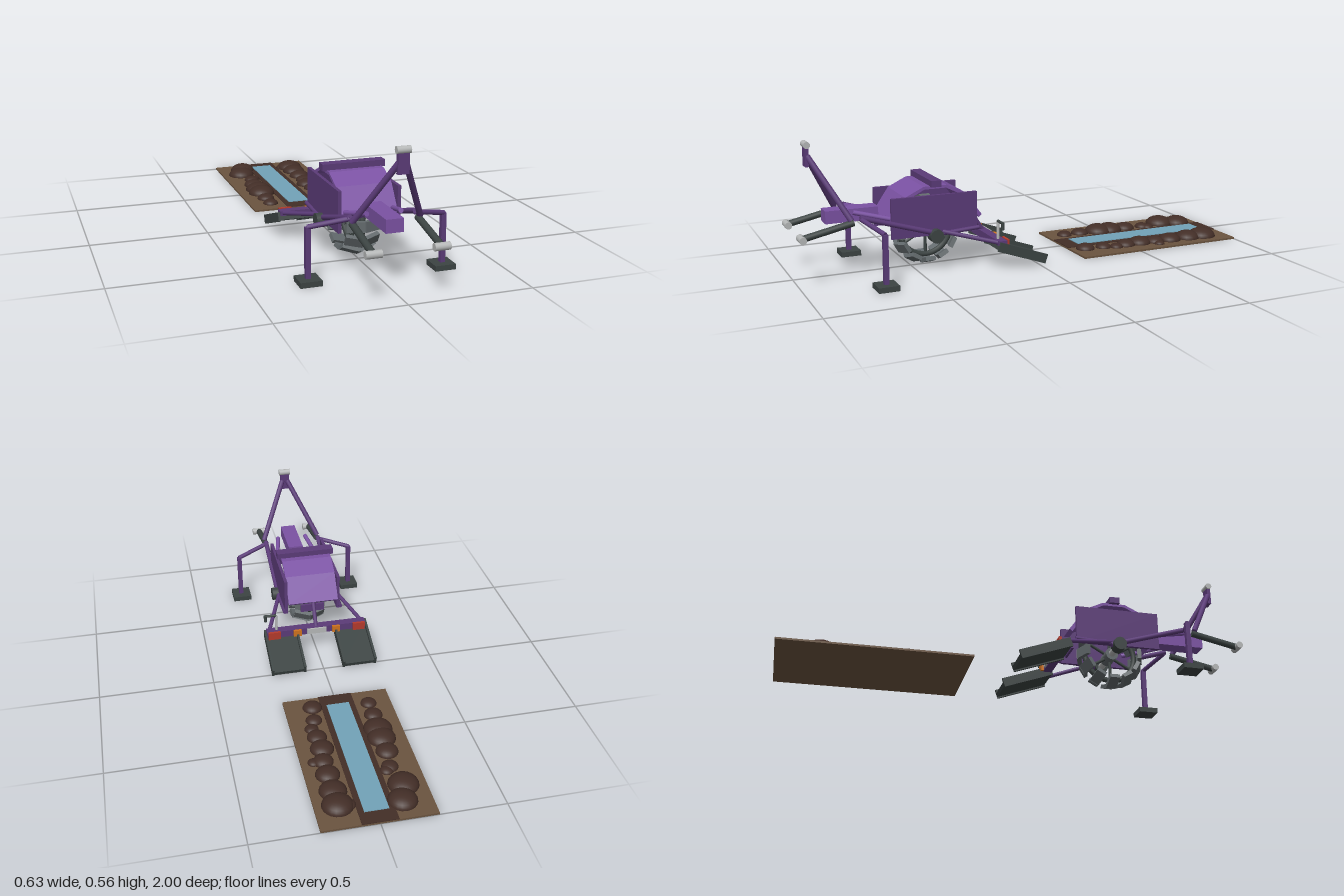
import * as THREE from 'three';

const mat = (name, color) => Object.assign(new THREE.MeshStandardMaterial({ color }), { name });

export function createModel() {
  const purple = mat('purple paint', 0x7b52a3), deep = mat('deep purple paint', 0x5b3b78);
  const dark = mat('dark steel', 0x3c4443), steel = mat('grey steel', 0x62696c);
  const silver = mat('silver', 0xb6b8b8), red = mat('red lamp', 0xb53a2c), orange = mat('orange lamp', 0xd0731f);
  const soil = mat('dry soil', 0x6b543f), clodMat = mat('moist soil', 0x432e27), water = mat('water', 0x72a3b8);
  const root = new THREE.Group();
  root.name = 'plantingMachine';

  const add = (name, geo, m, x = 0, y = 0, z = 0, parent = root) => {
    const mesh = new THREE.Mesh(geo, m);
    mesh.name = name;
    mesh.position.set(x, y, z);
    parent.add(mesh);
    return mesh;
  };
  const box = (name, m, w, h, d, x, y, z, parent) => add(name, new THREE.BoxGeometry(w, h, d), m, x, y, z, parent);
  const rod = (name, m, a, b, r, parent = root, sides = 12) => {
    const A = new THREE.Vector3(...a), B = new THREE.Vector3(...b), dir = B.clone().sub(A);
    const mesh = add(name, new THREE.CylinderGeometry(r, r, dir.length(), sides), m, 0, 0, 0, parent);
    mesh.position.copy(A).add(B).multiplyScalar(0.5);
    mesh.quaternion.setFromUnitVectors(new THREE.Vector3(0, 1, 0), dir.normalize());
    return mesh;
  };

  // Field bed with a water furrow
  const field = new THREE.Group();
  field.name = 'field';
  root.add(field);
  box('soilBed', soil, 0.46, 0.008, 0.785, 0, 0.004, -0.6075, field);
  box('furrow', clodMat, 0.145, 0.003, 0.785, 0, 0.0095, -0.6075, field);
  box('waterStrip', water, 0.098, 0.003, 0.66, 0, 0.0125, -0.61, field);

  // Clods: x, z, radius
  const clods = [
    [-0.111, -0.905, 0.06], [-0.138, -0.82, 0.063], [-0.114, -0.71, 0.035], [-0.096, -0.73, 0.028],
    [-0.127, -0.62, 0.047], [-0.127, -0.535, 0.06], [-0.127, -0.475, 0.062], [-0.132, -0.38, 0.04],
    [-0.132, -0.3, 0.035], [0.138, -0.88, 0.063], [0.1, -0.885, 0.032], [0.138, -0.8, 0.056],
    [0.138, -0.705, 0.05], [0.138, -0.625, 0.042], [0.178, -0.625, 0.024], [0.127, -0.55, 0.05],
    [0.132, -0.475, 0.042], [0.143, -0.42, 0.03], [0.122, -0.365, 0.035], [0.111, -0.28, 0.042]];
  for (const [x, z, r] of clods) {
    const c = add('clod', new THREE.SphereGeometry(r, 20, 8, 0, Math.PI * 2, 0, Math.PI / 2), clodMat, x, 0.008, z, field);
    c.scale.y = 0.6;
  }

  // Arched hood over the wheel, drawn in (z, y) and extruded across x
  const outer = [[0.2, 0.22], [0.13, 0.322], [0.05, 0.36], [-0.05, 0.36], [-0.13, 0.322], [-0.205, 0.22]];
  const inner = outer.map(([z, y]) => [z * 0.94, y - 0.012]).reverse();
  const hoodShape = new THREE.Shape([...outer, ...inner].map(([z, y]) => new THREE.Vector2(-z, y)));
  const hoodGeo = new THREE.ExtrudeGeometry(hoodShape, { depth: 0.23, bevelEnabled: false });
  hoodGeo.translate(0, 0, -0.115).rotateY(Math.PI / 2);
  add('hood', hoodGeo, purple, 0, 0, 0.425);
  box('topBar', deep, 0.264, 0.027, 0.044, 0, 0.371, 0.425);
  box('rearPanel', deep, 0.11, 0.035, 0.01, 0, 0.174, 0.25);
  box('frontBeam', purple, 0.07, 0.053, 0.22, 0, 0.252, 0.755);

  // Lugged wheel
  const wheel = new THREE.Group();
  wheel.name = 'wheel';
  wheel.position.set(0, 0.155, 0.433);
  root.add(wheel);
  add('rim', new THREE.TorusGeometry(0.112, 0.012, 10, 48).rotateY(Math.PI / 2), dark, 0, 0, 0, wheel);
  rod('hub', steel, [-0.04, 0, 0], [0.04, 0, 0], 0.028, wheel, 20);
  rod('axle', silver, [-0.12, 0, 0], [0.12, 0, 0], 0.015, wheel, 16);
  for (let i = 0; i < 12; i++) {
    const spoke = new THREE.Group();
    spoke.name = 'spokeAndLug';
    spoke.rotation.x = i * Math.PI / 6;
    wheel.add(spoke);
    if (i % 2 === 0) rod('spoke', dark, [0, 0.02, 0], [0, 0.11, 0], 0.007, spoke, 8);
    for (const s of [-1, 1]) {
      const lug = box('lug', steel, 0.074, 0.018, 0.044, s * 0.034, 0.128, 0, spoke);
      lug.rotation.z = -s * 0.35;
    }
  }

  // Paired parts
  for (const s of [-1, 1]) {
    box('sidePlate', deep, 0.014, 0.168, 0.372, s * 0.122, 0.24, 0.433);
    rod('hubCap', dark, [s * 0.11, 0.155, 0.433], [s * 0.158, 0.155, 0.433], 0.029, root, 20);
    rod('sideArm', deep, [s * 0.131, 0.262, 0.75], [s * 0.131, 0.155, 0.4], 0.011);
    rod('sideArmRear', deep, [s * 0.131, 0.158, 0.433], [s * 0.131, 0.17, 0.24], 0.009);
    rod('rearArm', deep, [s * 0.13, 0.168, 0.4], [s * 0.217, 0.115, 0.18], 0.009);
    rod('innerStay', purple, [s * 0.068, 0.272, 0.76], [s * 0.115, 0.215, 0.53], 0.01);

    // Outrigger and foot
    rod('outriggerArm', deep, [s * 0.13, 0.256, 0.745], [s * 0.277, 0.222, 0.692], 0.01);
    box('outriggerLeg', deep, 0.02, 0.205, 0.02, s * 0.275, 0.12, 0.692);
    box('foot', dark, 0.086, 0.022, 0.086, s * 0.273, 0.011, 0.692);

    // Hitch frame and lower links
    rod('mastLeg', deep, [s * 0.135, 0.255, 0.785], [s * 0.012, 0.505, 0.922], 0.012);
    rod('lowerLink', dark, [s * 0.131, 0.245, 0.775], [s * 0.131, 0.2, 0.985], 0.014);
    rod('linkEnd', silver, [s * 0.1, 0.2, 0.985], [s * 0.162, 0.2, 0.985], 0.015, root, 16);

    // Trailing bed shaper with raised edges
    const shaper = new THREE.Group();
    shaper.name = 'bedShaper';
    shaper.position.set(s * 0.162, 0.06, 0.085);
    shaper.rotation.x = -0.34;
    root.add(shaper);
    box('shaperPlate', dark, 0.155, 0.018, 0.23, 0, 0, 0, shaper);
    for (const e of [-1, 1]) box('shaperEdge', dark, 0.01, 0.04, 0.23, e * 0.0725, 0.005, 0, shaper);

    box('redLamp', red, 0.056, 0.036, 0.012, s * 0.197, 0.11, 0.147);
    box('orangeLamp', orange, 0.036, 0.03, 0.012, s * 0.09, 0.11, 0.147);
  }

  // Mast head
  box('mastPlate', deep, 0.044, 0.09, 0.016, 0, 0.507, 0.925);
  rod('mastPin', silver, [-0.027, 0.55, 0.925], [0.027, 0.55, 0.925], 0.014, root, 16);

  // Rear crossbar
  box('rearBar', deep, 0.46, 0.032, 0.038, 0, 0.109, 0.172);
  box('rearPlate', silver, 0.09, 0.026, 0.008, 0, 0.11, 0.149);
  rod('centreStrut', deep, [0, 0.12, 0.17], [0, 0.225, 0.235], 0.009);

  // Adjusting crank
  rod('crankStem', silver, [0.183, 0.12, 0.175], [0.183, 0.2, 0.175], 0.006);
  rod('crankArm', dark, [0.183, 0.201, 0.175], [0.236, 0.201, 0.175], 0.006);
  rod('crankGrip', dark, [0.233, 0.205, 0.175], [0.233, 0.174, 0.175], 0.007);

  return root;
}
